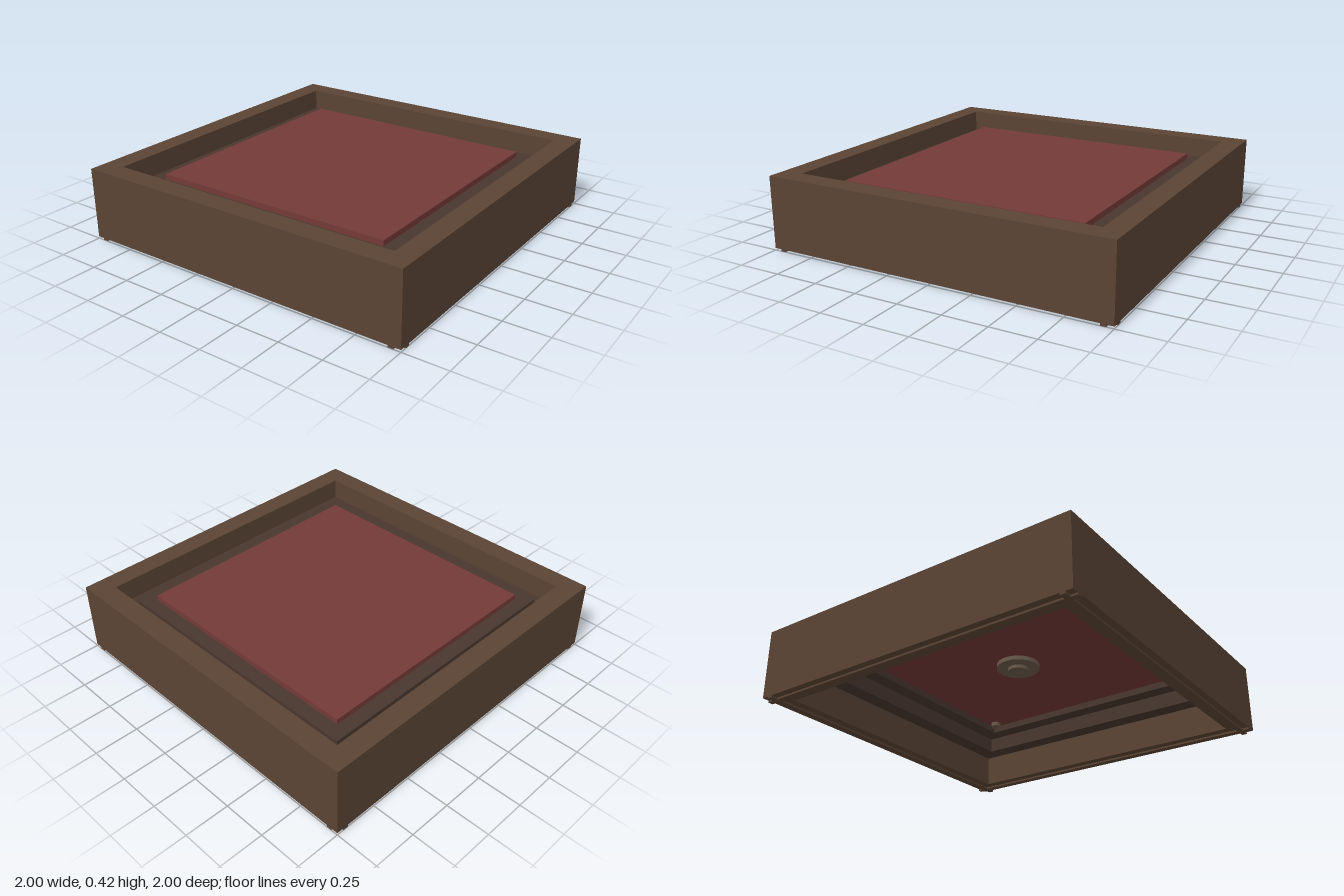
import * as THREE from 'three';

const wood = new THREE.MeshStandardMaterial({ color: 0x5a4434 });
const darkWood = new THREE.MeshStandardMaterial({ color: 0x48372f });
const red = new THREE.MeshStandardMaterial({ color: 0x743a38 });
const metal = new THREE.MeshStandardMaterial({ color: 0x6b5a4a });

function square(path, r) {
  path.moveTo(-r, -r);
  path.lineTo(r, -r);
  path.lineTo(r, r);
  path.lineTo(-r, r);
  path.closePath();
  return path;
}

// Square ring between half-widths inner and outer, from y0 up to y1
function ring(name, outer, inner, y0, y1, material) {
  const shape = square(new THREE.Shape(), outer);
  shape.holes.push(square(new THREE.Path(), inner));
  const geometry = new THREE.ExtrudeGeometry(shape, { depth: y1 - y0, bevelEnabled: false });
  geometry.rotateX(-Math.PI / 2).translate(0, y0, 0);
  const mesh = new THREE.Mesh(geometry, material);
  mesh.name = name;
  return mesh;
}

function box(name, w, h, d, x, y, z, material) {
  const mesh = new THREE.Mesh(new THREE.BoxGeometry(w, h, d), material);
  mesh.position.set(x, y, z);
  mesh.name = name;
  return mesh;
}

function disc(name, r, y0, y1, x, z, material) {
  const mesh = new THREE.Mesh(new THREE.CylinderGeometry(r, r, y1 - y0, 32), material);
  mesh.position.set(x, (y0 + y1) / 2, z);
  mesh.name = name;
  return mesh;
}

export function createModel() {
  const group = new THREE.Group();
  group.name = 'pressurePlate';

  // Housing and stepped ledges that carry the plate
  group.add(ring('outerFrame', 1, 0.88, 0.012, 0.42, wood));
  group.add(ring('lowerLedge', 0.88, 0.78, 0.2, 0.295, darkWood));
  group.add(ring('upperLedge', 0.8, 0.69, 0.29, 0.33, darkWood));

  // Plate
  group.add(box('plate', 1.44, 0.032, 1.44, 0, 0.346, 0, red));

  // Hub under the plate
  group.add(disc('hub', 0.125, 0.305, 0.335, 0, 0, metal));
  group.add(disc('hubPin', 0.06, 0.285, 0.31, 0, 0, metal));

  // Corner pegs and crossing foot strips
  for (const s of [-1, 1]) {
    for (const t of [-1, 1]) group.add(disc('cornerPeg', 0.03, 0.305, 0.335, s * 0.64, t * 0.64, metal));
    group.add(box('footStrip', 2, 0.012, 0.03, 0, 0.006, s * 0.945, wood));
    group.add(box('footStrip', 0.03, 0.0115, 2, s * 0.945, 0.00625, 0, wood));
  }
  return group;
}
